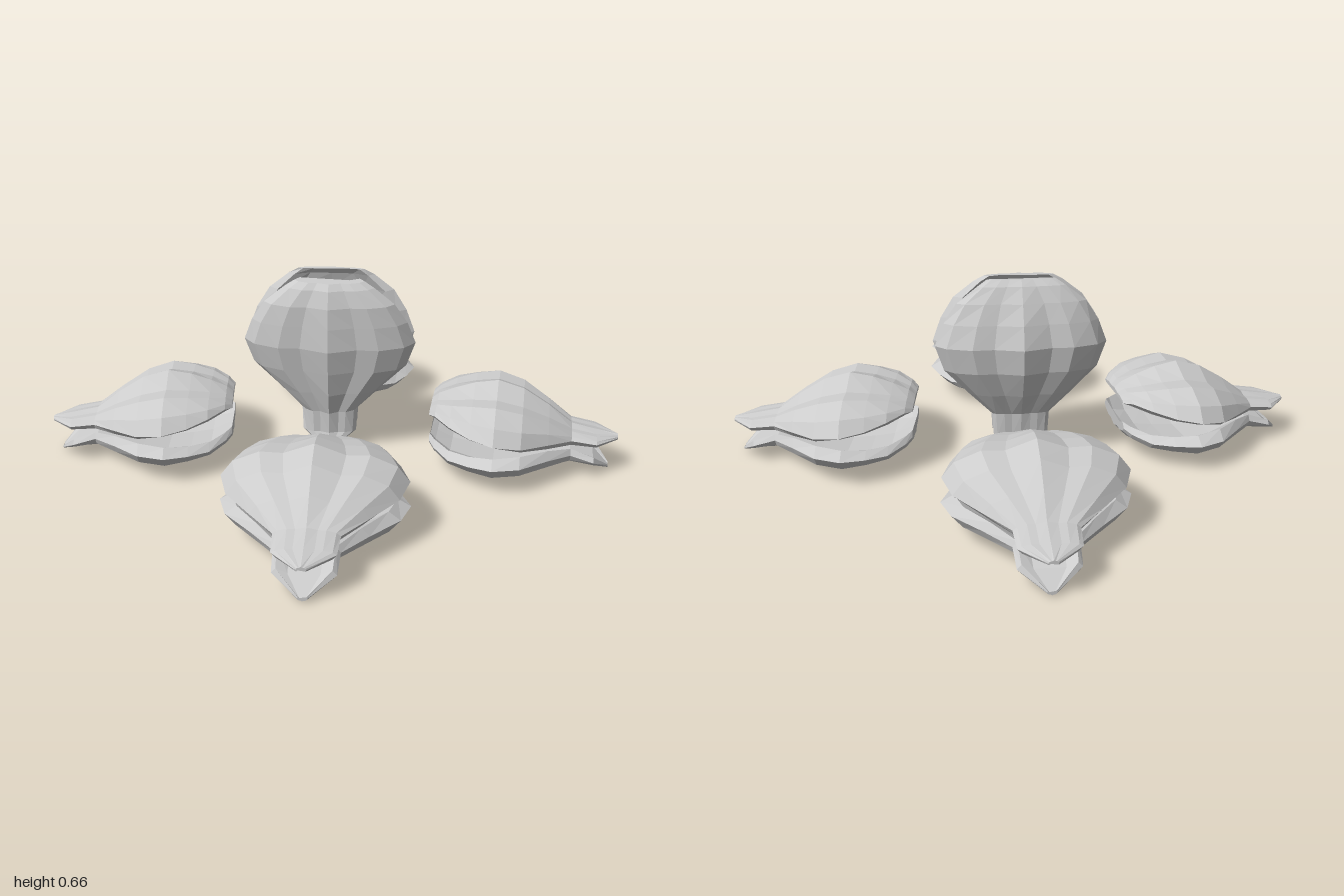
import * as THREE from 'three';

const material = new THREE.MeshStandardMaterial({ color: 0xcccccc, flatShading: true, side: THREE.DoubleSide });

// Cross profile: [position across the half width, share of the shell's height]
const outer = [[-1, 0], [-0.87, 0.42], [-0.58, 0.72], [-0.33, 0.7], [0, 1], [0.33, 0.7], [0.58, 0.72], [0.87, 0.42], [1, 0]];
const inner = [[0.86, null], [0.5, 0.6], [0, 0.8], [-0.5, 0.6], [-0.86, null]];

// Stations from hinge to lip: z, half width, ridge y, rim y, inner edge y, hollow share
const upper = [
  [1.0, 0.015, 0.135, 0.125, 0.12, 0],
  [0.925, 0.095, 0.148, 0.13, 0.115, 0],
  [0.84, 0.1, 0.165, 0.14, 0.12, 0],
  [0.76, 0.18, 0.225, 0.155, 0.13, 0.3],
  [0.67, 0.265, 0.28, 0.17, 0.145, 0.5],
  [0.58, 0.295, 0.305, 0.185, 0.165, 0.6],
  [0.5, 0.265, 0.29, 0.195, 0.175, 0.55],
  [0.43, 0.22, 0.265, 0.21, 0.19, 0.4],
  [0.375, 0.15, 0.24, 0.215, 0.2, 0.1],
  [0.352, 0.115, 0.22, 0.205, 0.2, 0],
];
const lower = [
  [0.975, 0.015, 0.005, 0.015, 0.02, 0],
  [0.92, 0.095, 0.03, 0.06, 0.075, 0],
  [0.84, 0.1, 0.03, 0.085, 0.105, 0],
  [0.76, 0.18, 0.015, 0.095, 0.122, 0.3],
  [0.67, 0.27, 0.006, 0.1, 0.13, 0.5],
  [0.58, 0.3, 0, 0.1, 0.125, 0.6],
  [0.5, 0.27, 0.015, 0.095, 0.115, 0.55],
  [0.43, 0.225, 0.03, 0.09, 0.112, 0.4],
  [0.375, 0.155, 0.055, 0.1, 0.122, 0.1],
  [0.355, 0.12, 0.075, 0.11, 0.13, 0],
];

// Skins closed loops along the stations and caps both ends
function shellGeometry(stations, flip) {
  const pos = [], idx = [];
  const n = outer.length + inner.length;
  for (const [z, w, ridge, rim, edge, hollow] of stations) {
    for (const [t, f] of outer) pos.push(t * w, rim + (ridge - rim) * f, z);
    for (const [t, f] of inner) {
      pos.push(t * w, f === null ? edge : rim + (ridge - rim) * f * hollow, z);
    }
  }
  const tri = (a, b, c) => (flip ? idx.push(a, c, b) : idx.push(a, b, c));
  const last = (stations.length - 1) * n;
  for (let i = 0; i < stations.length - 1; i++) {
    for (let j = 0; j < n; j++) {
      const a = i * n + j, b = i * n + ((j + 1) % n);
      tri(a, b, b + n);
      tri(a, b + n, a + n);
    }
  }
  for (let j = 1; j < n - 1; j++) {
    tri(0, j + 1, j);
    tri(last, last + j, last + j + 1);
  }
  const g = new THREE.BufferGeometry();
  g.setAttribute('position', new THREE.Float32BufferAttribute(pos, 3));
  g.setIndex(idx);
  const flat = g.toNonIndexed();
  flat.computeVertexNormals();
  return flat;
}

export function createModel() {
  const model = new THREE.Group();
  model.name = 'clams';
  const upperGeometry = shellGeometry(upper, false);
  const lowerGeometry = shellGeometry(lower, true);

  // One open clam: two shells with the hinge towards local +z
  function addClam(name, position, rotation) {
    const clam = new THREE.Group();
    clam.name = name;
    for (const [part, geometry] of [['upperShell', upperGeometry], ['lowerShell', lowerGeometry]]) {
      const mesh = new THREE.Mesh(geometry, material);
      mesh.name = part;
      clam.add(mesh);
    }
    clam.position.set(...position);
    clam.rotation.set(...rotation);
    model.add(clam);
  }

  // Four lying clams, lips to the middle
  const turn = Math.PI / 2 - 0.11;
  addClam('frontClam', [-0.01, 0, -0.01], [0, 0, 0]);
  addClam('backClam', [-0.01, 0, 0.01], [0, Math.PI, 0]);
  addClam('leftClam', [0.006, 0, -0.038], [0, turn, 0]);
  addClam('rightClam', [-0.006, 0, -0.038], [0, -turn, 0]);

  // Clam standing on its hinge, leaning slightly
  addClam('standingClam', [-0.01, 0.988, 0.165], [Math.PI / 2 + 0.12, 0, Math.PI]);
  return model;
}
